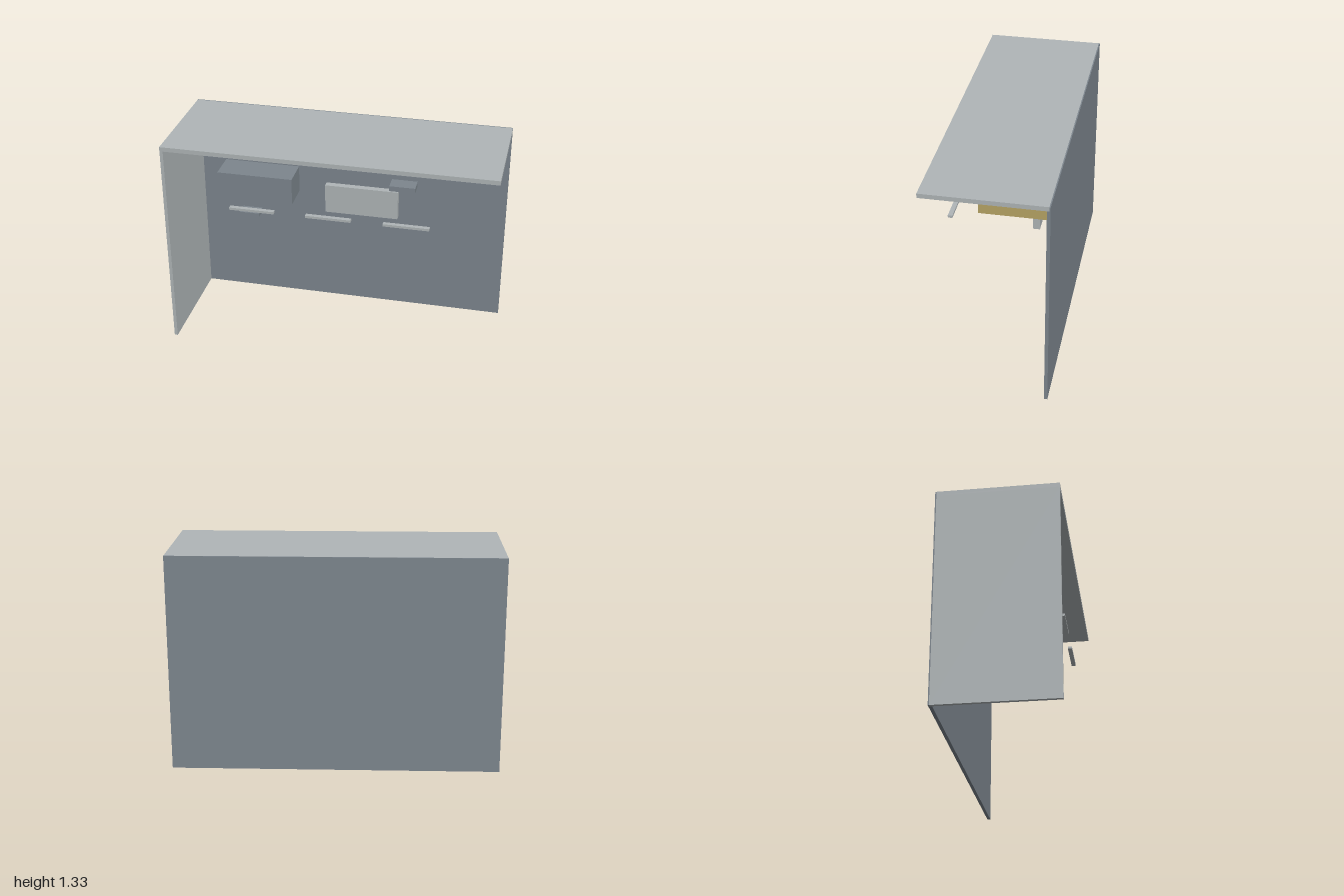
import * as THREE from 'three';

const flat = (name, color) => {
  const m = new THREE.MeshStandardMaterial({ color });
  m.name = name;
  return m;
};

export function createModel() {
  const model = new THREE.Group();
  model.name = 'kitchenBay';
  const light = flat('light grey', 0xb0b6b8);
  const slate = flat('slate grey', 0x7d868e);
  const ochre = flat('ochre', 0xb8a565);
  const red = flat('dull red', 0xab7270);

  // Box given by its lower and upper limits on each axis
  const box = (name, mat, [x0, x1], [y0, y1], [z0, z1], parent = model) => {
    const mesh = new THREE.Mesh(new THREE.BoxGeometry(x1 - x0, y1 - y0, z1 - z0), mat);
    mesh.position.set((x0 + x1) / 2, (y0 + y1) / 2, (z0 + z1) / 2);
    mesh.name = name;
    parent.add(mesh);
    return mesh;
  };

  // Shell: rebated back wall, one side wall and the roof slab
  const backWall = new THREE.Group();
  backWall.name = 'backWall';
  model.add(backWall);
  box('backWallOuter', slate, [-1, 1], [0, 1.333], [-0.36, -0.353], backWall);
  box('backWallInner', slate, [-0.98, 1], [0, 1.306], [-0.353, -0.34], backWall);
  box('sideWall', light, [-1, -0.98], [0, 1.306], [-0.353, 0.36]);
  box('roof', light, [-1, 1], [1.306, 1.333], [-0.353, 0.36]);

  // Wall-mounted units
  box('wallCabinet', slate, [-0.826, -0.338], [0.76, 0.936], [-0.34, -0.145]);
  box('ceilingDuct', ochre, [0.65, 0.9], [1.183, 1.288], [-0.34, 0.05]);
  box('wallPanel', red, [0.523, 0.848], [1.065, 1.206], [-0.34, -0.315]);

  // Hanging panels
  box('largePanel', light, [-0.123, 0.34], [0.73, 0.918], [-0.196, -0.155]);
  box('smallPanel', light, [-0.28, -0.08], [1.134, 1.25], [-0.14, -0.106]);

  // Small blocks
  box('upperBlock', slate, [0.318, 0.476], [1.03, 1.063], [-0.052, 0.043]);
  box('lowerBlock', slate, [-0.643, -0.517], [0.725, 0.746], [-0.09, -0.008]);

  // Row of three thin bars
  for (const x of [-0.472, -0.003, 0.466])
    box('bar', light, [x - 0.138, x + 0.138], [0.928, 0.943], [0.27, 0.297]);

  // Pieces just below the roof
  for (const x of [0.24, 0.66])
    box('ceilingLight', light, [x - 0.064, x + 0.064], [1.262, 1.283], [-0.1, -0.02]);
  box('ceilingPlate', slate, [0.425, 0.548], [1.29, 1.302], [0.07, 0.19]);
  box('ceilingStrip', red, [-0.67, -0.355], [1.291, 1.303], [-0.033, 0.07]);
  box('ceilingTrim', slate, [-0.687, -0.52], [1.284, 1.291], [-0.03, 0.085]);

  return model;
}
